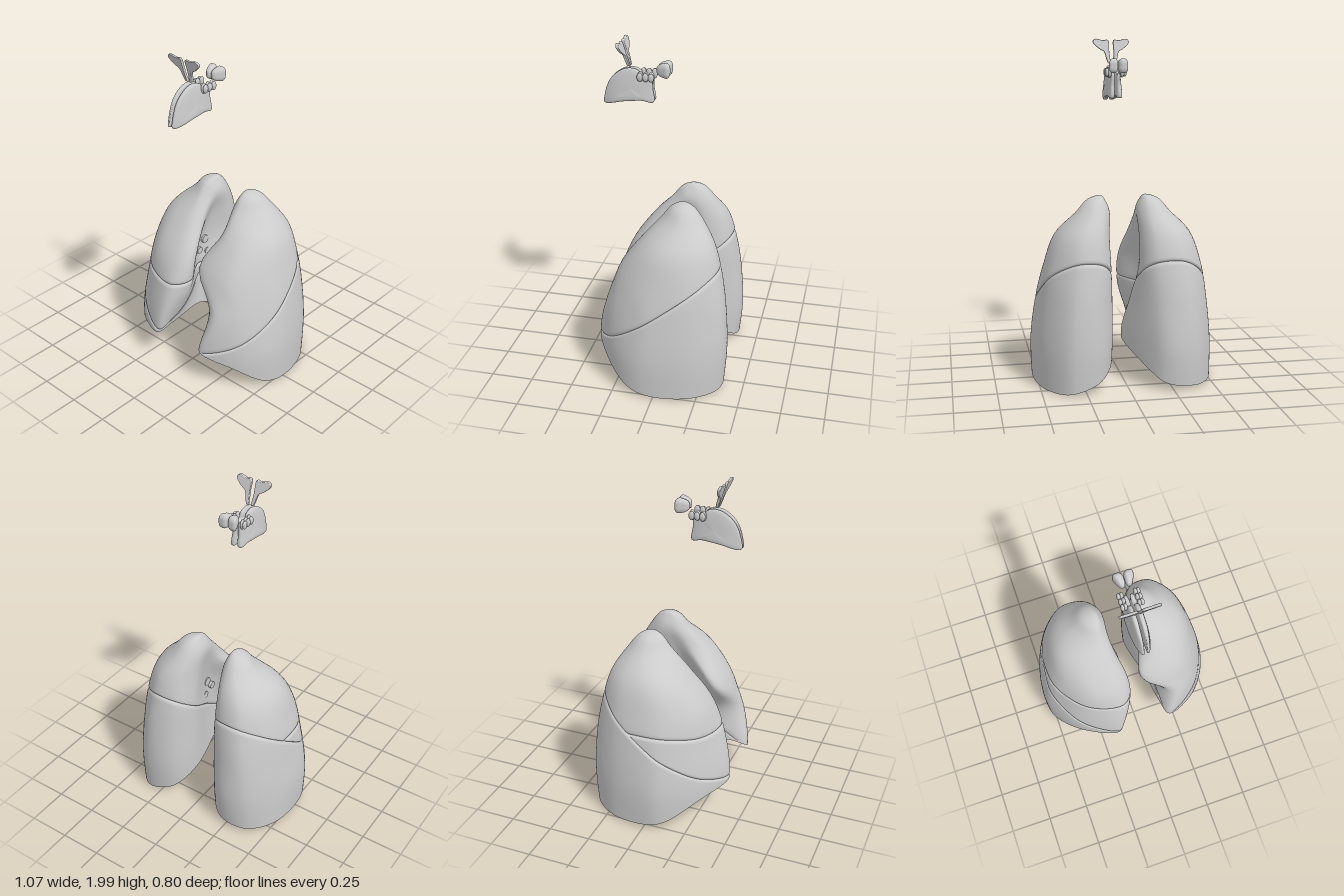
import * as THREE from 'three';
import { RoundedBoxGeometry } from 'three/addons/geometries/RoundedBoxGeometry.js';

const mat = new THREE.MeshStandardMaterial({ color: 0xcccccc, side: THREE.DoubleSide });

function add(parent, name, geometry) {
  const mesh = new THREE.Mesh(geometry, mat);
  mesh.name = name;
  parent.add(mesh);
  return mesh;
}

// Catmull-Rom interpolation on plain numbers
function cubic(a, b, c, d, t) {
  return b + 0.5 * t * (c - a + t * (2 * a - 5 * b + 4 * c - d + t * (3 * (b - c) + d - a)));
}

function loop(values, s) {
  const n = values.length, i = Math.floor(s), at = k => values[(i + k + n) % n];
  return cubic(at(-1), at(0), at(1), at(2), s - i);
}

// Closed band of quads; fn(row, column) returns a point
function band(rows, cols, fn, flip) {
  const pos = [], idx = [];
  for (let i = 0; i <= rows; i++)
    for (let j = 0; j < cols; j++) pos.push(...fn(i, j));
  const gap = (a, b) => Math.hypot(pos[3 * a] - pos[3 * b], pos[3 * a + 1] - pos[3 * b + 1], pos[3 * a + 2] - pos[3 * b + 2]);
  const tri = (a, b, c) => {
    if (Math.min(gap(a, b), gap(b, c), gap(c, a)) < 1e-5) return;
    idx.push(a, flip ? c : b, flip ? b : c);
  };
  for (let i = 0; i < rows; i++)
    for (let j = 0; j < cols; j++) {
      const k = (j + 1) % cols, a = i * cols + j, b = i * cols + k;
      tri(a, b, b + cols);
      tri(a, b + cols, a + cols);
    }
  const g = new THREE.BufferGeometry();
  g.setAttribute('position', new THREE.Float32BufferAttribute(pos, 3));
  g.setIndex(idx);
  g.computeVertexNormals();
  return g;
}

// Section heights; each section runs front, outer side, back, inner side as [x, z]
const HEIGHTS = [0, 0.25, 0.5, 0.7, 0.88, 1.01, 1.085, 1.11];
const APEX = [0.135, -0.1];
const SUMMIT = [[.14, .03], [.2, .015], [.25, -.03], [.278, -.1], [.26, -.175], [.2, -.225], [.13, -.215], [.085, -.15], [.08, -.07], [.095, -.01]];
const LEFT = {
  sections: [
    [[.21, .375], [.375, .3], [.49, .17], [.525, .01], [.475, -.22], [.34, -.37], [.17, -.345], [.09, -.2], [.1, .05], [.13, .25]],
    [[.2, .395], [.38, .31], [.495, .17], [.53, .01], [.48, -.22], [.34, -.383], [.16, -.36], [.08, -.2], [.13, .09], [.15, .28]],
    [[.25, .335], [.375, .27], [.465, .14], [.5, 0], [.46, -.21], [.325, -.37], [.16, -.35], [.08, -.2], [.145, .05], [.16, .25]],
    [[.12, .265], [.29, .25], [.41, .13], [.455, -.03], [.425, -.21], [.3, -.34], [.155, -.328], [.085, -.2], [.14, .04], [.045, .21]],
    [[.15, .14], [.27, .13], [.36, .05], [.395, -.06], [.365, -.2], [.27, -.297], [.15, -.285], [.09, -.18], [.105, -.04], [.095, .07]],
  ],
  rim: [.24, .17, .06, .02, .01, .02, .08, .18, .25, .28],
};
const RIGHT = {
  sections: [
    [[.18, .37], [.365, .285], [.495, .14], [.53, 0], [.495, -.22], [.365, -.365], [.18, -.355], [.07, -.18], [.08, .04], [.12, .25]],
    [[.15, .4], [.365, .3], [.5, .14], [.538, 0], [.495, -.22], [.365, -.38], [.17, -.365], [.0, -.065], [.11, .05], [.11, .29]],
    [[.11, .35], [.325, .28], [.465, .13], [.505, 0], [.475, -.21], [.345, -.37], [.16, -.345], [.04, -.13], [.13, .04], [.035, .24]],
    [[.1, .27], [.28, .25], [.42, .12], [.465, -.03], [.44, -.21], [.315, -.343], [.155, -.325], [.08, -.19], [.14, .02], [.03, .19]],
    [[.13, .145], [.27, .13], [.37, .05], [.405, -.06], [.375, -.2], [.28, -.297], [.15, -.285], [.085, -.18], [.115, -.04], [.07, .08]],
  ],
  rim: [.22, .18, .07, .03, .02, .03, .07, .24, .28, .27],
};

const oblique = p => 0.24 + 0.7 * (0.4 - p[2]);
const horizontal = p => Math.max(oblique(p), 0.55 + 0.5 * (p[0] - 0.17) ** 2);

function makeLung(name, data, side, fissures, lobeNames) {
  const group = new THREE.Group();
  group.name = name;
  const COLS = 160, ROWS = 32, CX = 0.29, CZ = -0.02;
  const shrink = k => SUMMIT.map(([x, z]) => [APEX[0] + (x - APEX[0]) * k, APEX[1] + (z - APEX[1]) * k]);
  const rows = [...data.sections, SUMMIT, shrink(0.53), shrink(0)];
  const last = rows.length - 1;

  // Point on the outer skin at section parameter u and column j
  const columns = Array.from({ length: COLS }, (_, j) => {
    const s = j / COLS * 10;
    return rows.map((r, i) => [loop(r.map(p => p[0]), s), HEIGHTS[i], loop(r.map(p => p[1]), s)]);
  });
  const skin = (u, j) => {
    const i = Math.min(Math.floor(u), last - 1), c = columns[j];
    // Beyond the apex the column carries on down the far side, which rounds the top
    const far = columns[(j + COLS / 2) % COLS][last - 1];
    const at = k => (i + k > last ? far : c[Math.max(0, i + k)]);
    return [0, 1, 2].map(a => cubic(at(-1)[a], at(0)[a], at(1)[a], at(2)[a], u - i));
  };
  const solve = (h, j) => {
    let lo = 0, hi = last;
    for (let k = 0; k < 26; k++) {
      const m = (lo + hi) / 2, p = skin(m, j);
      if (p[1] < h(p)) lo = m; else hi = m;
    }
    return lo;
  };
  const rimY = columns.map((_, j) => loop(data.rim, j / COLS * 10));
  const rimU = rimY.map((y, j) => solve(() => y, j));
  const edges = [rimU, ...fissures.map(f => rimU.map((r, j) => Math.max(r, solve(f, j)))), rimU.map(() => last)];

  // Lobes with edges rolled inward at the fissures
  lobeNames.forEach((lobeName, n) => {
    const low = edges[n], high = edges[n + 1];
    const roll = (u, p, j) => {
      const q = skin(u, j);
      const e = Math.min(1, Math.abs(p[1] - q[1]) / 0.02);
      return 0.013 * (1 - e) ** 3 * Math.min(1, Math.max(0, (q[1] - rimY[j]) / 0.03));
    };
    add(group, lobeName, band(ROWS, COLS, (i, j) => {
      const t = (1 - Math.cos(Math.PI * i / ROWS)) / 2;
      const p = skin(low[j] + (high[j] - low[j]) * t, j);
      let inset = 0;
      if (n > 0) inset = roll(low[j], p, j);
      if (n < lobeNames.length - 1) inset = Math.max(inset, roll(high[j], p, j));
      const dx = CX - p[0], dz = CZ - p[2], d = Math.hypot(dx, dz) || 1;
      return [side * (p[0] + dx / d * inset), p[1], p[2] + dz / d * inset];
    }, side < 0));
  });

  // Hollow domed underside
  add(group, 'diaphragmSurface', band(18, COLS, (i, j) => {
    const k = 1 - Math.cos(i / 18 * Math.PI / 2), p = skin(rimU[j], j);
    const rise = Math.sqrt(1 - (1 - k) ** 2);
    return [side * (p[0] + (CX - p[0]) * k), p[1] + (0.33 - p[1]) * rise, p[2] + (CZ - p[2]) * k];
  }, side > 0));

  // Cut airway and vessel stubs on the inner face
  [[0.71, -0.01, 0.026], [0.65, 0.04, 0.022], [0.62, -0.03, 0.022]].forEach(([y, z, r]) => {
    const stub = add(group, 'hilumStub', new THREE.CylinderGeometry(r, r, 0.07, 20));
    stub.rotation.z = Math.PI / 2;
    stub.position.set(side * 0.16, y, z);
  });
  return group;
}

function reshape(g, rule) {
  const p = g.attributes.position, v = new THREE.Vector3();
  for (let i = 0; i < p.count; i++) {
    rule(v.fromBufferAttribute(p, i));
    p.setXYZ(i, v.x, v.y, v.z);
  }
  g.computeVertexNormals();
  return g;
}

// Side plate outline as [z, y]
const PLATE = [[.38, 1.63], [.385, 1.68], [.355, 1.765], [.3, 1.82], [.24, 1.842], [.185, 1.83],
  [.165, 1.795], [.11, 1.795], [.105, 1.73], [.1, 1.655], [.17, 1.662], [.27, 1.652]];

function makeUpperHalf(name) {
  const half = new THREE.Group();
  half.name = name;

  // Main side plate, a softly rounded slab narrowing to the front, the back and the top
  add(half, 'sidePlate', band(24, 96, (i, j) => {
    const s = j / 96 * PLATE.length, c = -Math.cos(Math.PI * i / 24);
    const k = Math.sin(Math.PI * i / 24) ** 0.4;
    const z = 0.23 + (loop(PLATE.map(p => p[0]), s) - 0.23) * k;
    const y = 1.73 + (loop(PLATE.map(p => p[1]), s) - 1.73) * k;
    const width = 1 - 0.55 * Math.max(0, (z - 0.24) / 0.145) ** 2 - 0.3 * Math.max(0, (0.2 - z) / 0.1);
    const across = (Math.sign(c) * Math.abs(c) ** 0.5 + 1) / 2;
    return [0.003 + across * 0.05 * width * (1.12 - 0.5 * (y - 1.63) / 0.2), y, z];
  }, true));

  // Flared thin wing leaning forward
  const outline = new THREE.SplineCurve([[.008, 1.852], [.022, 1.855], [.032, 1.88], [.043, 1.92], [.07, 1.938], [.1, 1.963], [.109, 1.983],
    [.09, 1.997], [.05, 1.988], [.022, 1.991], [.013, 1.975], [.014, 1.92], [.008, 1.852]].map(p => new THREE.Vector2(...p)));
  const wing = new THREE.ExtrudeGeometry(new THREE.Shape(outline.getPoints(50)), {
    depth: 0.006, bevelThickness: 0.005, bevelSize: 0.003, bevelOffset: -0.002, bevelSegments: 3,
  });
  add(half, 'wing', reshape(wing, v => { v.z += 0.24 + (v.y - 1.86) * 0.31; }));

  // Row of paired beads
  for (let i = 0; i < 3; i++)
    for (const x of [0.037, 0.053]) {
      const bead = add(half, 'bead', new THREE.SphereGeometry(1, 20, 14));
      bead.scale.set(0.011, x < 0.05 ? 0.03 : 0.025, 0.017);
      bead.position.set(x, 1.803, 0.107 + i * 0.032);
    }

  // Rear wedge, wider toward the back
  add(half, 'rearWedge', reshape(new RoundedBoxGeometry(1, 1, 1, 6, 0.38), v => {
    v.x = 0.001 + (v.x + 0.5) * (0.048 - 0.03 * v.z);
    v.y = 1.842 + 0.078 * v.y * (1 - 0.5 * v.z);
    v.z = 0.043 + 0.078 * v.z;
  }));
  return half;
}

export function createModel() {
  const model = new THREE.Group();
  model.name = 'lungsAndUpperCartilages';
  model.add(makeLung('leftLung', LEFT, 1, [oblique], ['lowerLobe', 'upperLobe']));
  model.add(makeLung('rightLung', RIGHT, -1, [oblique, horizontal], ['lowerLobe', 'middleLobe', 'upperLobe']));
  const rightHalf = makeUpperHalf('rightCartilages');
  rightHalf.scale.x = -1;
  model.add(makeUpperHalf('leftCartilages'), rightHalf);
  return model;
}
